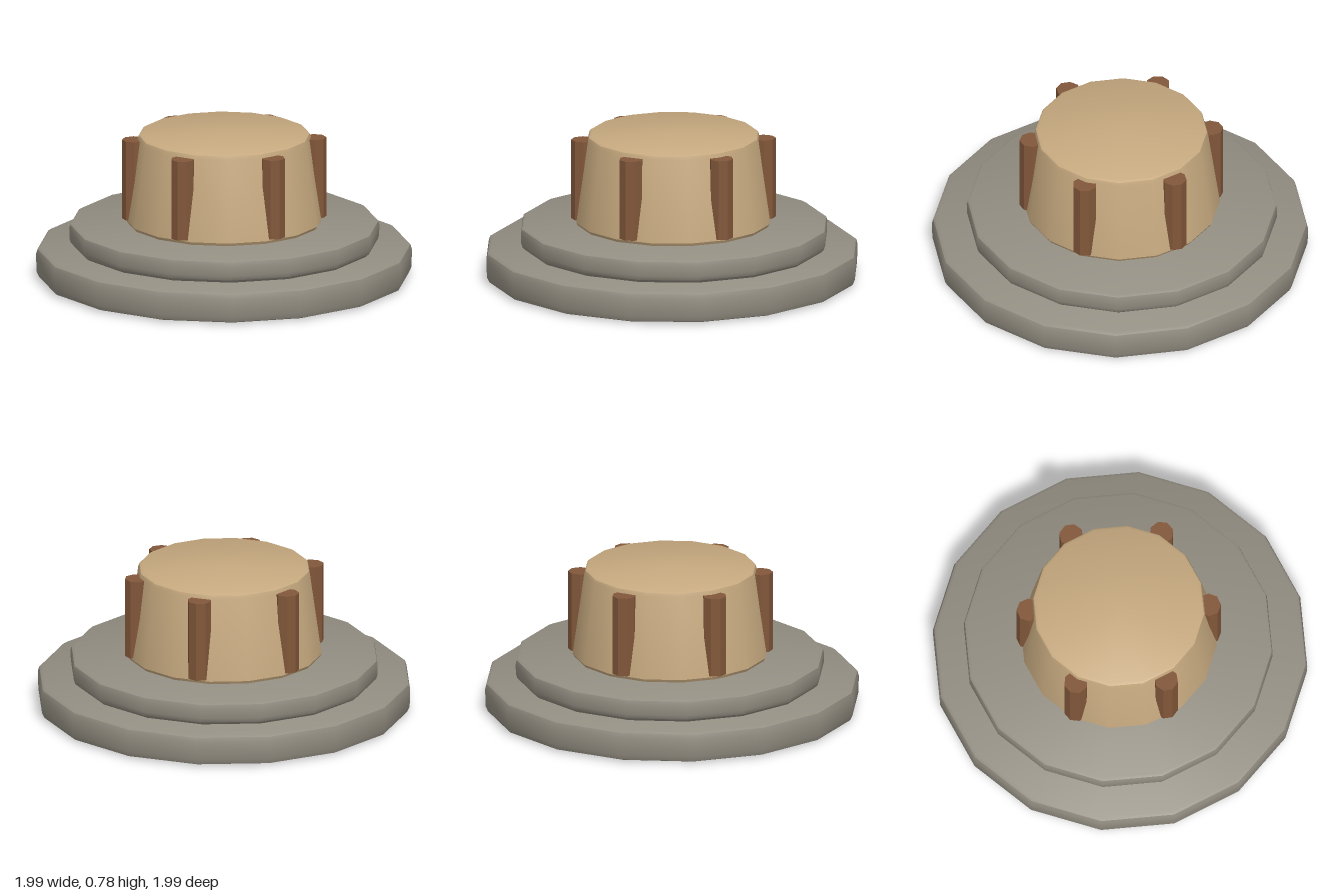
import * as THREE from 'three';
import { toCreasedNormals } from 'three/addons/utils/BufferGeometryUtils.js';

const material = (name, color) => new THREE.MeshStandardMaterial({ name, color });

export function createModel() {
  const stone = material('stone', 0x938e82);
  const plaster = material('tan', 0xc6a97f);
  const wood = material('wood', 0x82573a);
  const model = new THREE.Group();
  model.name = 'tieredPedestal';

  // Sixteen-sided turned part: smooth around, sharp at the bevels
  const turned = (name, mat, x, z, profile) => {
    const points = profile.map(([r, y]) => new THREE.Vector2(r, y));
    const geometry = toCreasedNormals(new THREE.LatheGeometry(points, 16), 0.6);
    const mesh = new THREE.Mesh(geometry, mat);
    mesh.name = name;
    mesh.position.set(x, 0, z);
    model.add(mesh);
  };

  // Two stacked stone steps with softened rims
  turned('lowerStep', stone, -0.002, -0.003, [
    [0, 0.008], [0.95, 0.012], [0.978, 0.022], [0.99, 0.05],
    [0.993, 0.145], [0.985, 0.172], [0.968, 0.183], [0, 0.187],
  ]);
  turned('upperStep', stone, 0.008, -0.01, [
    [0, 0.17], [0.79, 0.183], [0.81, 0.2], [0.818, 0.225],
    [0.819, 0.28], [0.814, 0.3], [0.8, 0.308], [0, 0.311],
  ]);

  // Tapered drum
  turned('drum', plaster, 0.005, -0.008, [
    [0, 0.3], [0.508, 0.303], [0.52, 0.325], [0.458, 0.765],
    [0.452, 0.783], [0.438, 0.791], [0, 0.793],
  ]);

  // Six upright posts half sunk into the drum
  const postGeometry = new THREE.CylinderGeometry(0.064, 0.064, 0.43, 8).toNonIndexed();
  postGeometry.computeVertexNormals();
  for (let i = 0; i < 6; i++) {
    const angle = THREE.MathUtils.degToRad(-75 + i * 60);
    const post = new THREE.Mesh(postGeometry, wood);
    post.name = `post${i + 1}`;
    post.position.set(0.005 + 0.476 * Math.cos(angle), 0.547, -0.008 + 0.476 * Math.sin(angle));
    post.rotation.y = -angle;
    model.add(post);
  }
  return model;
}
